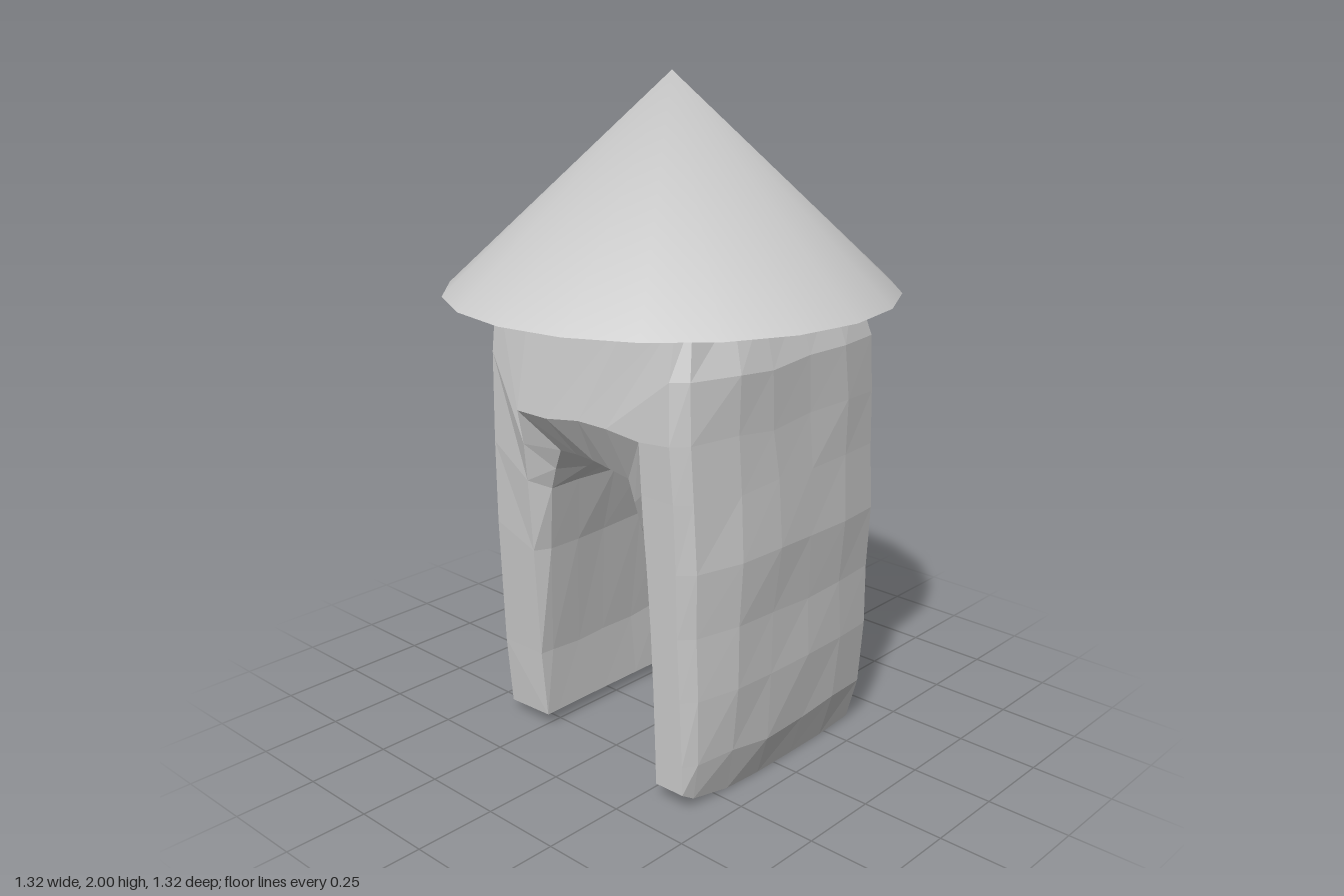
import * as THREE from 'three';
import { mergeVertices } from 'three/addons/utils/BufferGeometryUtils.js';

// Profiles run [z, y] from the front hem, over the top, to the back hem.
// Outer and inner rows pair up point by point.
const OUTER_MID = [[.415, 0], [.455, .14], [.47, .34], [.468, .53], [.478, .72], [.466, .92], [.462, 1.08], [.458, 1.25],
  [.405, 1.41], [.2, 1.41], [-.2, 1.41], [-.368, 1.41], [-.38, 1.2], [-.39, .92], [-.4, .66], [-.42, .25], [-.41, .02]];
const OUTER_END = [[.4, .05], [.4, .14], [.395, .34], [.39, .53], [.39, .72], [.385, .92], [.375, 1.08], [.365, 1.25],
  [.355, 1.41], [.2, 1.41], [-.2, 1.41], [-.36, 1.41], [-.375, 1.2], [-.385, .92], [-.395, .66], [-.412, .25], [-.41, .03]];
const INNER_MID = [[.27, 0], [.25, .14], [.24, .34], [.237, .53], [.23, .72], [.19, .8], [.165, .85], [.14, .9],
  [.07, .91], [.01, .92], [-.05, .925], [-.11, .92], [-.15, .86], [-.18, .8], [-.215, .6], [-.245, .25], [-.24, .04]];
const INNER_END = [[.3, .05], [.3, .14], [.298, .34], [.293, .53], [.283, .72], [.275, .82], [.27, .92], [.265, 1.07],
  [.14, 1.08], [.03, 1.08], [-.1, 1.06], [-.22, 1.06], [-.23, .95], [-.24, .83], [-.245, .6], [-.25, .25], [-.24, .04]];

// Half widths [y, x] at a few depths z, for each side of the body
const LEFT_WIDTHS = [
  [-.4, [[0, .405], [.65, .408], [.82, .375], [1.41, .355]]],
  [-.22, [[0, .41], [.65, .415], [1.05, .42], [1.25, .405], [1.41, .375]]],
  [.28, [[0, .35], [.6, .357], [.75, .37], [.95, .405], [1.41, .37]]],
  [.4, [[0, .375], [.3, .383], [1.08, .388], [1.25, .382], [1.41, .35]]]];
const RIGHT_WIDTHS = [
  [-.4, [[0, .305], [.3, .33], [.65, .355], [1.1, .37], [1.41, .355]]],
  [-.22, [[0, .31], [.3, .325], [.65, .35], [.9, .375], [1.06, .415], [1.41, .37]]],
  [.28, [[0, .385], [.4, .395], [1.08, .412], [1.41, .365]]],
  [.4, [[0, .382], [.4, .392], [1.08, .41], [1.25, .405], [1.41, .36]]]];

// Straight-line lookup in rows of [key, value]
function lookup(rows, key, read = (value) => value) {
  const i = Math.max(1, rows.findIndex((row) => row[0] >= key));
  const last = key > rows[rows.length - 1][0] ? rows.length - 1 : i;
  const [k0, v0] = rows[last - 1], [k1, v1] = rows[last];
  const t = THREE.MathUtils.clamp((key - k0) / (k1 - k0), 0, 1);
  return THREE.MathUtils.lerp(read(v0), read(v1), t);
}
const halfWidth = (side, y, z) => lookup(side, z, (rows) => lookup(rows, y));

// Stations across the width: outer position and blend, inner position and blend towards the end profile
const STATIONS = [[-1, 1, -1, 1], [-.9, .55, -.86, .15], [-.55, .1, -.55, 0], [-.2, 0, -.2, 0],
  [.2, 0, .2, 0], [.6, 0, .5, 0], [.985, .12, .8, .05], [1, 1, 1, 1]];

function bodyGeometry() {
  let seed = 7;
  const wobble = (size) => {
    seed = (seed * 16807) % 2147483647;
    return (seed / 2147483647 - .5) * size;
  };
  const n = OUTER_MID.length, ring = n * 2;
  const positions = [], index = [];
  const quad = (a, b, c, d) => index.push(a, b, c, a, c, d);

  STATIONS.forEach(([outerU, outerBlend, innerU, innerBlend], s) => {
    const add = (mid, end, u, blend, k) => {
      const z = THREE.MathUtils.lerp(mid[k][0], end[k][0], blend);
      const y = THREE.MathUtils.lerp(mid[k][1], end[k][1], blend);
      const free = Math.abs(u) < .7 && k > 0 && k < n - 1;
      positions.push(
        u * halfWidth(u > 0 ? LEFT_WIDTHS : RIGHT_WIDTHS, y, z) + (free ? wobble(.03) : 0),
        y + (free && y < 1.4 ? wobble(.02) : 0),
        z * (1 - .01 * u * u) + (free ? wobble(.008) : 0));
    };
    for (let k = 0; k < n; k++) add(OUTER_MID, OUTER_END, outerU, outerBlend, k);
    for (let k = n - 1; k >= 0; k--) add(INNER_MID, INNER_END, innerU, innerBlend, k);
  });

  // Skin between neighbouring stations
  for (let s = 0; s < STATIONS.length - 1; s++) {
    for (let j = 0; j < ring; j++) {
      const a = s * ring + j, d = s * ring + (j + 1) % ring;
      quad(a, a + ring, d + ring, d);
    }
  }
  // Arch-shaped side faces
  const last = (STATIONS.length - 1) * ring;
  for (let k = 0; k < n - 1; k++) {
    const inner = ring - 1 - k;
    quad(last + k, last + inner, last + inner - 1, last + k + 1);
    quad(k, k + 1, inner - 1, inner);
  }

  const geometry = new THREE.BufferGeometry();
  geometry.setAttribute('position', new THREE.Float32BufferAttribute(positions, 3));
  geometry.setIndex(index);
  const flat = geometry.toNonIndexed();
  flat.computeVertexNormals();
  return flat;
}

export function createModel() {
  const model = new THREE.Group();
  model.name = 'archedHut';

  // Rough arch with a thick front and back wall, open at both sides
  const body = new THREE.Mesh(bodyGeometry(), new THREE.MeshStandardMaterial({ color: 0xcccccc, flatShading: true }));
  body.name = 'archedBody';
  model.add(body);

  // Wide conical roof, smooth right up to its tip
  const radius = .66, height = .615, sides = 20;
  const material = new THREE.MeshStandardMaterial({ color: 0xcccccc });
  const cone = new THREE.ConeGeometry(radius, height, sides, 1, true);
  cone.deleteAttribute('normal');
  cone.deleteAttribute('uv');
  const smoothCone = mergeVertices(cone);
  smoothCone.computeVertexNormals();
  const roof = new THREE.Mesh(smoothCone, material);
  roof.name = 'conicalRoof';
  roof.position.y = 2 - height / 2;
  model.add(roof);

  // Flat underside of the roof
  const underside = new THREE.Mesh(new THREE.CircleGeometry(radius, sides), material);
  underside.name = 'roofUnderside';
  underside.rotation.x = Math.PI / 2;
  underside.position.y = 2 - height;
  model.add(underside);

  return model;
}
